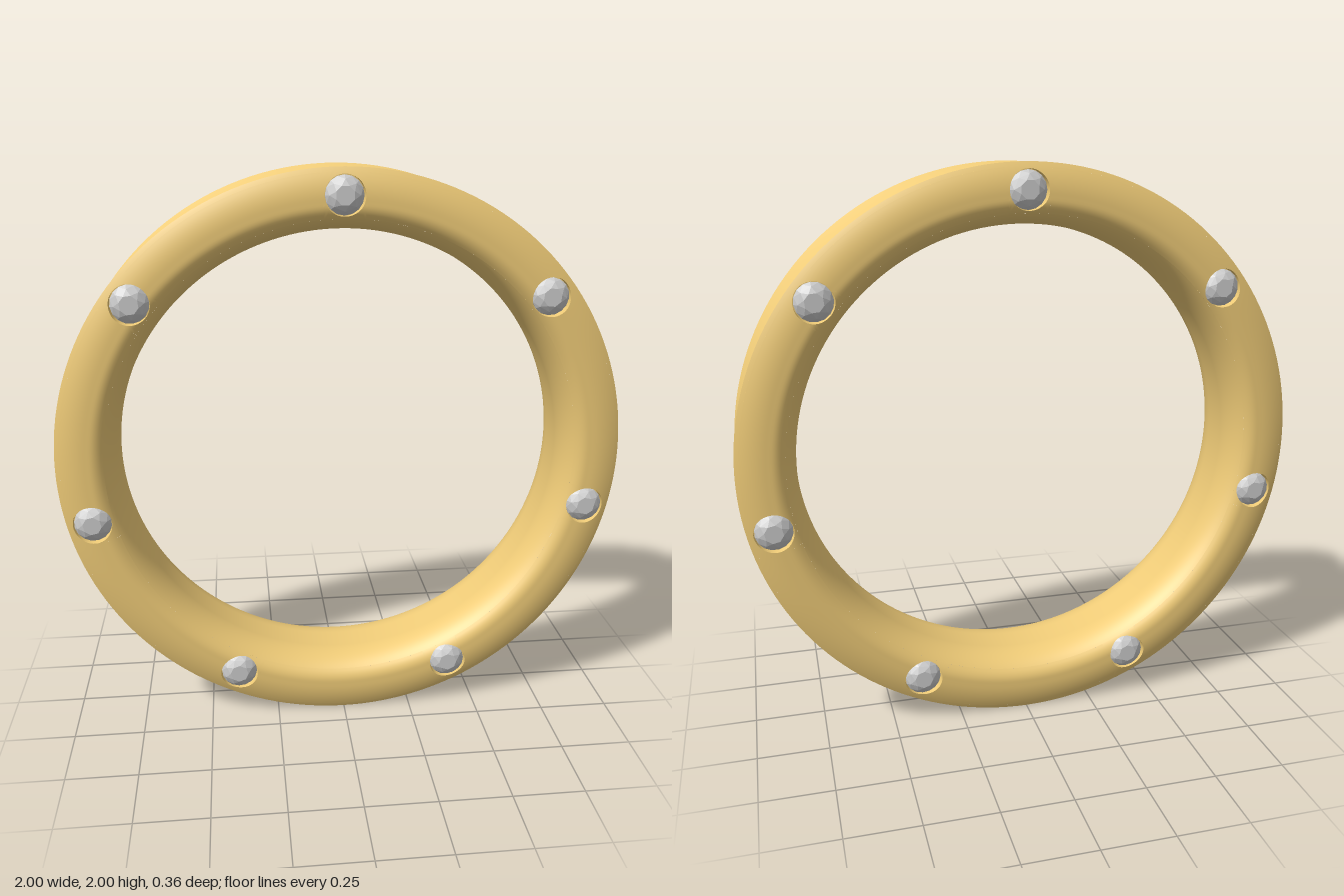
import * as THREE from 'three';
import { ParametricGeometry } from 'three/addons/geometries/ParametricGeometry.js';
import { ConvexGeometry } from 'three/addons/geometries/ConvexGeometry.js';

const COUNT = 7;              // stones per face
const GEM_R = 0.91;           // distance of stones from the ring axis
const HOLE = 0.068;           // socket radius
const FLOOR = 0.13;           // socket floor height
const BORE = 0.795;           // inner radius
const IN = 0.835, OUT = 0.985; // band of the face that holds the sockets
const HALF = 0.0825;          // half angle of a socket patch
const STEP = (Math.PI * 2) / COUNT;

const gold = new THREE.MeshStandardMaterial({ color: 0xf0cc78 });
const goldInside = new THREE.MeshStandardMaterial({ color: 0xf0cc78, side: THREE.DoubleSide });
const stone = new THREE.MeshStandardMaterial({ color: 0xcccccc, flatShading: true });

// Height of the domed face at radius r
function faceZ(r) {
  if (r > 0.9) return 0.177 - 0.025 * ((r - 0.9) / 0.1) ** 2;
  if (r > 0.88) return 0.177;
  const t = Math.min(1, (0.88 - r) / (0.88 - BORE));
  return 0.05 + 0.127 * Math.sqrt(1 - t * t);
}

function named(name, geometry, material) {
  const mesh = new THREE.Mesh(geometry, material);
  mesh.name = name;
  return mesh;
}

// Profile of [radius, z] pairs spun about the z axis
function spin(profile, segments = 168, start = 0, length = Math.PI * 2) {
  const pts = profile.map(([r, z]) => new THREE.Vector2(r, z));
  return new THREE.LatheGeometry(pts, segments, start, length).rotateX(Math.PI / 2);
}

// Samples fn(0..1) at n + 1 places
const sample = (n, fn) => Array.from({ length: n + 1 }, (_, i) => fn(i / n));
const faceProfile = (r0, r1, n) => sample(n, (t) => {
  const r = r0 + (r1 - r0) * t;
  return [r, faceZ(r)];
});

// Face surface around one socket: round hole blending to the band's edges
function socketPatch(u, v, target) {
  const c = Math.cos(u * Math.PI * 2), s = Math.sin(u * Math.PI * 2);
  const m = Math.max(Math.abs(c), Math.abs(s));
  const hr = Math.hypot(GEM_R + HOLE * c, HOLE * s);
  const ha = Math.atan2(HOLE * s, GEM_R + HOLE * c);
  const r = THREE.MathUtils.lerp(hr, GEM_R + (c / m) * (OUT - IN) / 2, v);
  const a = THREE.MathUtils.lerp(ha, (s / m) * HALF, v);
  target.set(r * Math.sin(a), r * Math.cos(a), faceZ(r));
}

// Socket wall from the hole's edge down to its floor
function socketWall(u, v, target) {
  const x = HOLE * Math.sin(u * Math.PI * 2);
  const y = GEM_R + HOLE * Math.cos(u * Math.PI * 2);
  target.set(x, y, THREE.MathUtils.lerp(faceZ(Math.hypot(x, y)), FLOOR, v));
}

// Faceted round stone: table, crown, girdle and pointed base
function gemGeometry() {
  const pts = [new THREE.Vector3(0, 0, 0.09)];
  const loop = (n, radius, z, turn) => {
    for (let i = 0; i < n; i++) {
      const a = ((i + turn) / n) * Math.PI * 2;
      pts.push(new THREE.Vector3(radius * Math.sin(a), radius * Math.cos(a), z));
    }
  };
  loop(8, 0.033, 0.181, 0.5);
  loop(8, 0.052, 0.170, 0);
  loop(16, 0.065, 0.155, 0);
  loop(16, 0.065, 0.149, 0);
  return new ConvexGeometry(pts).translate(0, GEM_R, 0);
}

// One face of the ring with its sockets and stones
function createFace(name) {
  const face = new THREE.Group();
  face.name = name;
  face.add(named('rimEdge', spin(faceProfile(1, OUT, 4)), gold));

  const patch = new ParametricGeometry(socketPatch, 48, 6);
  const wall = new ParametricGeometry(socketWall, 48, 1);
  const floor = new THREE.CircleGeometry(HOLE, 48).translate(0, GEM_R, FLOOR);
  const arc = spin(faceProfile(OUT, IN, 20), 24, Math.PI + HALF, STEP - 2 * HALF);
  const gem = gemGeometry();

  for (let i = 0; i < COUNT; i++) {
    const sector = new THREE.Group();
    sector.name = 'faceSector';
    sector.rotation.z = i * STEP;
    sector.add(
      named('faceArc', arc, gold),
      named('socketSurround', patch, gold),
      named('socketWall', wall, goldInside),
      named('socketFloor', floor, gold),
      named('gem', gem, stone),
    );
    face.add(sector);
  }
  return face;
}

export function createModel() {
  const ring = new THREE.Group();
  ring.name = 'ring';

  // Hollow groove round the outside
  const groove = sample(24, (t) => {
    const k = 2 * t - 1;
    return [0.96 + 0.04 * k * k, 0.152 * k];
  });
  ring.add(named('outerGroove', spin(groove), gold));

  // Bore with rounded shoulders, following the face's ellipse at both ends
  const a0 = Math.acos((0.88 - IN) / (0.88 - BORE));
  const shoulder = sample(14, (t) => {
    const a = a0 * (1 - t);
    return [0.88 - (0.88 - BORE) * Math.cos(a), 0.05 + 0.127 * Math.sin(a)];
  });
  const lower = shoulder.map(([r, z]) => [r, -z]).reverse();
  ring.add(named('bore', spin([...shoulder, ...lower]), gold));

  // Matching faces on both sides
  const back = createFace('backFace');
  back.rotation.y = Math.PI;
  ring.add(createFace('frontFace'), back);

  ring.position.y = 1;
  const model = new THREE.Group();
  model.name = 'jewelledRing';
  model.add(ring);
  return model;
}
